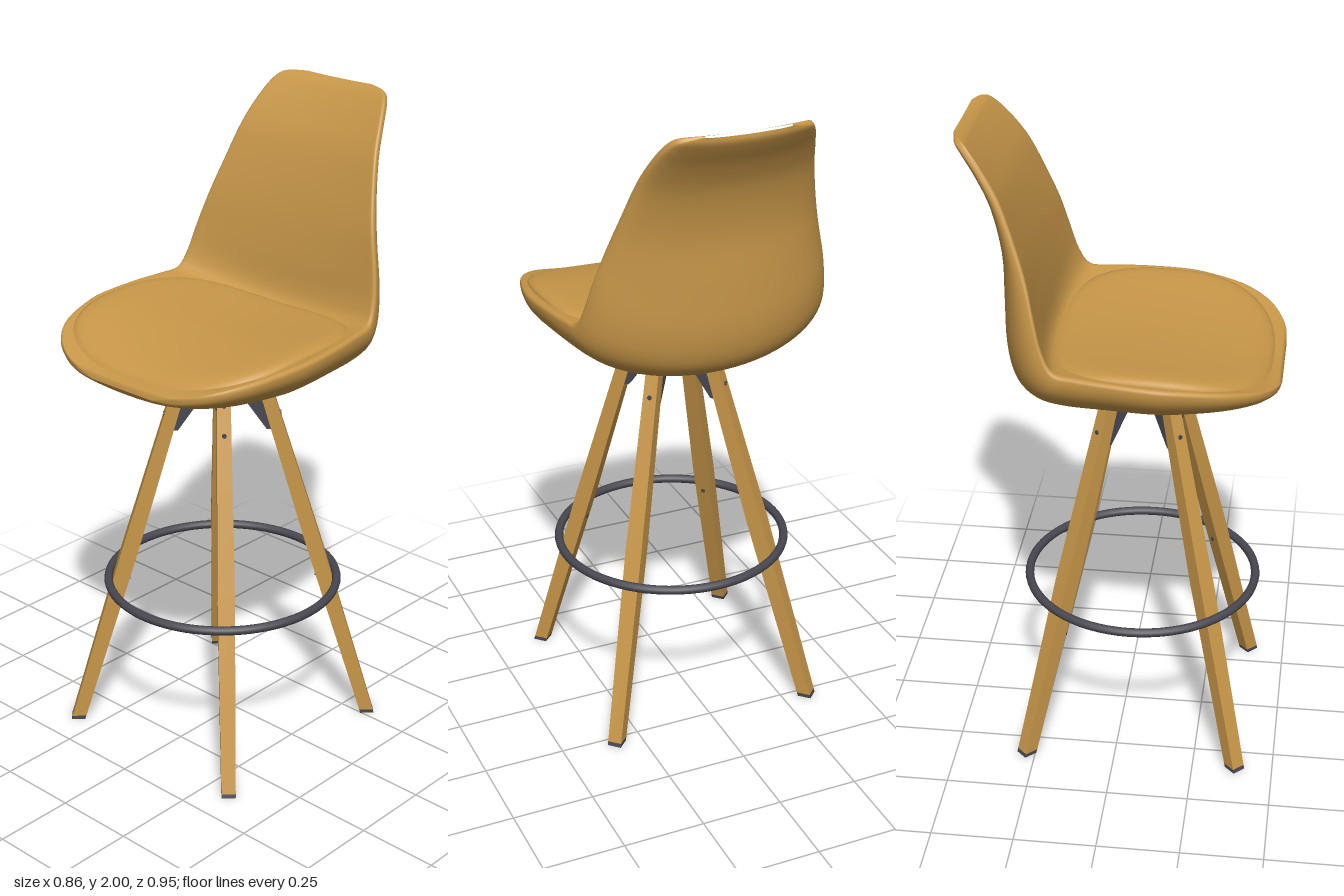
import * as THREE from 'three';

const ochre = new THREE.MeshStandardMaterial({ color: 0xc89749 });
ochre.name = 'ochre';
const metal = new THREE.MeshStandardMaterial({ color: 0x484750 });
metal.name = 'dark metal';

const BASE_Z = 0.053;
const LEG_TOP = 1.19;
// distance of a leg's axis from the middle at height y
const legRadius = (y) => 0.467 - 0.294 * y;

function mesh(name, geometry, material) {
  const m = new THREE.Mesh(geometry, material);
  m.name = name;
  return m;
}

// smooth surface through rows of points, each row a closed loop
function loft(rows) {
  const n = rows[0].length;
  const index = [];
  for (let i = 0; i < rows.length - 1; i++) {
    for (let j = 0; j < n; j++) {
      const k = (j + 1) % n;
      const a = i * n + j, b = i * n + k, c = a + n, d = b + n;
      index.push(a, c, b, b, c, d);
    }
  }
  const g = new THREE.BufferGeometry();
  g.setAttribute('position', new THREE.Float32BufferAttribute(rows.flat(2), 3));
  g.setIndex(index);
  g.computeVertexNormals();
  return g;
}

// Shell stations from front lip to top of back:
// half width, rim z y, inner middle z y, outer middle z y
const stations = [
  [0.12, 0.475, 1.265, 0.475, 1.265, 0.475, 1.265],
  [0.20, 0.467, 1.275, 0.466, 1.270, 0.462, 1.247],
  [0.27, 0.442, 1.292, 0.440, 1.274, 0.430, 1.233],
  [0.33, 0.400, 1.312, 0.400, 1.280, 0.385, 1.218],
  [0.385, 0.320, 1.333, 0.320, 1.290, 0.300, 1.200],
  [0.42, 0.200, 1.350, 0.200, 1.300, 0.180, 1.183],
  [0.428, 0.120, 1.356, 0.100, 1.305, 0.100, 1.178],
  [0.42, 0.000, 1.362, 0.000, 1.315, -0.030, 1.178],
  [0.405, -0.100, 1.366, -0.100, 1.325, -0.170, 1.178],
  [0.393, -0.165, 1.374, -0.190, 1.335, -0.255, 1.200],
  [0.38, -0.200, 1.430, -0.225, 1.375, -0.315, 1.250],
  [0.36, -0.225, 1.520, -0.243, 1.480, -0.342, 1.350],
  [0.33, -0.250, 1.620, -0.268, 1.600, -0.345, 1.500],
  [0.30, -0.285, 1.720, -0.300, 1.710, -0.345, 1.650],
  [0.27, -0.330, 1.830, -0.343, 1.820, -0.372, 1.790],
  [0.245, -0.380, 1.910, -0.392, 1.900, -0.413, 1.880],
  [0.22, -0.425, 1.965, -0.433, 1.955, -0.452, 1.940],
  [0.19, -0.453, 1.988, -0.455, 1.980, -0.470, 1.972],
  [0.13, -0.468, 1.996, -0.468, 1.994, -0.470, 1.990],
];

// Catmull-Rom value of one column at position t
function sample(col, t) {
  const last = stations.length - 1;
  const i = Math.min(Math.floor(t), last - 1), f = t - i;
  const v = (k) => stations[Math.max(0, Math.min(last, k))][col];
  const a = v(i - 1), b = v(i), c = v(i + 1), d = v(i + 2);
  return b + 0.5 * f * (c - a + f * (2 * a - 5 * b + 4 * c - d + f * (3 * (b - c) + d - a)));
}

function shellGeometry() {
  const rows = [];
  const steps = 4 * (stations.length - 1), around = 72;
  for (let i = 0; i <= steps; i++) {
    const [w, ez, ey, uz, uy, lz, ly] = stations[0].map((_, c) => sample(c, i / 4));
    const len = Math.hypot(lz - ez, ly - ey) || 1e-6;
    const lip = Math.min(0.015, len * 0.5);
    const row = [];
    for (let j = 0; j < around; j++) {
      const a = (j / around) * Math.PI * 2;
      const s = Math.abs(Math.sin(a));
      let y, z;
      if (Math.sin(a) > 0) {
        // inner face: rounded lip, then a shallow dish
        const r = lip * Math.sin(Math.min(1, 4 * s) * Math.PI / 2) / len;
        z = ez + (uz - ez) * s * s - (lz - ez) * r;
        y = ey + (uy - ey) * s * s - (ly - ey) * r;
      } else {
        z = ez + (lz - ez) * s;
        y = ey + (ly - ey) * s;
      }
      row.push([w * Math.cos(a), y, z]);
    }
    rows.push(row);
  }
  return loft(rows);
}

function cushionGeometry() {
  const profile = [[0, 0], [0.2, 0], [0.4, 0], [0.6, 0], [0.75, 0], [0.87, -0.001],
    [0.94, -0.005], [0.98, -0.013], [1, -0.026], [0.99, -0.06]];
  const power = (v, p) => Math.sign(v) * Math.pow(Math.abs(v), p);
  const rows = profile.map(([rho, dy]) => {
    const row = [];
    for (let j = 0; j < 80; j++) {
      const a = (j / 80) * Math.PI * 2;
      const p = 2 / (Math.sin(a) > 0 ? 3.2 : 2.7);
      const x = 0.402 * rho * power(Math.cos(a), p);
      const z = 0.12 - 0.33 * rho * power(Math.sin(a), p);
      const drop = z > 0 ? 0.06 * Math.pow(z / 0.45, 2.5) : 0;
      row.push([x, 1.36 + 0.03 * (x / 0.4) ** 2 - drop + dy, z]);
    }
    return row;
  });
  return loft(rows);
}

// square post between two heights, leaning outward and swelling in the middle
const legSide = (y) => (y < 0.6 ? 0.043 + 0.015 * y : 0.052 - 0.02 * (y - 0.6));
function postGeometry(y0, y1) {
  const g = new THREE.BoxGeometry(1, y1 - y0, 1, 1, 4, 1);
  g.translate(0, (y0 + y1) / 2, 0);
  const p = g.attributes.position;
  for (let i = 0; i < p.count; i++) {
    const y = p.getY(i), s = legSide(y);
    p.setXYZ(i, p.getX(i) * s + legRadius(y), y, p.getZ(i) * s);
  }
  g.computeVertexNormals();
  return g;
}

function createLeg() {
  const leg = new THREE.Group();
  leg.name = 'leg';
  leg.add(mesh('legPost', postGeometry(0.012, LEG_TOP), ochre));
  leg.add(mesh('footPad', postGeometry(0, 0.012), metal));

  // triangular bracket on the inner face
  const tri = new THREE.Shape([
    new THREE.Vector2(0.015, 1.185),
    new THREE.Vector2(legRadius(1.01) - 0.035, 1.01),
    new THREE.Vector2(legRadius(1.01) - 0.018, 1.01),
    new THREE.Vector2(legRadius(1.185) - 0.018, 1.185),
  ]);
  const bracket = new THREE.ExtrudeGeometry(tri, { depth: 0.032, bevelEnabled: false });
  bracket.translate(0, 0, -0.016);
  leg.add(mesh('bracket', bracket, metal));

  // screw heads: two outside at the top, one inside at the footrest
  for (const [y, side] of [[1.145, 1], [1.06, 1], [0.505, -1]]) {
    const screw = mesh('screw', new THREE.CylinderGeometry(0.007, 0.007, 0.006, 12), metal);
    screw.rotation.z = Math.PI / 2;
    screw.position.set(legRadius(y) + side * legSide(y) / 2, y, 0);
    leg.add(screw);
  }
  return leg;
}

export function createModel() {
  const model = new THREE.Group();
  model.name = 'barStool';
  model.add(mesh('seatShell', shellGeometry(), ochre));
  model.add(mesh('seatCushion', cushionGeometry(), ochre));

  const base = new THREE.Group();
  base.name = 'base';
  base.position.z = BASE_Z;
  for (let i = 0; i < 4; i++) {
    const leg = createLeg();
    leg.rotation.y = Math.PI / 4 + i * Math.PI / 2;
    base.add(leg);
  }
  const plate = mesh('mountingPlate', new THREE.CylinderGeometry(0.13, 0.13, 0.022, 40), metal);
  plate.position.y = 1.185;
  base.add(plate);

  const ring = mesh('footrestRing', new THREE.TorusGeometry(0.358, 0.0135, 12, 72), metal);
  ring.rotation.x = Math.PI / 2;
  ring.position.y = 0.505;
  base.add(ring);
  model.add(base);
  return model;
}
